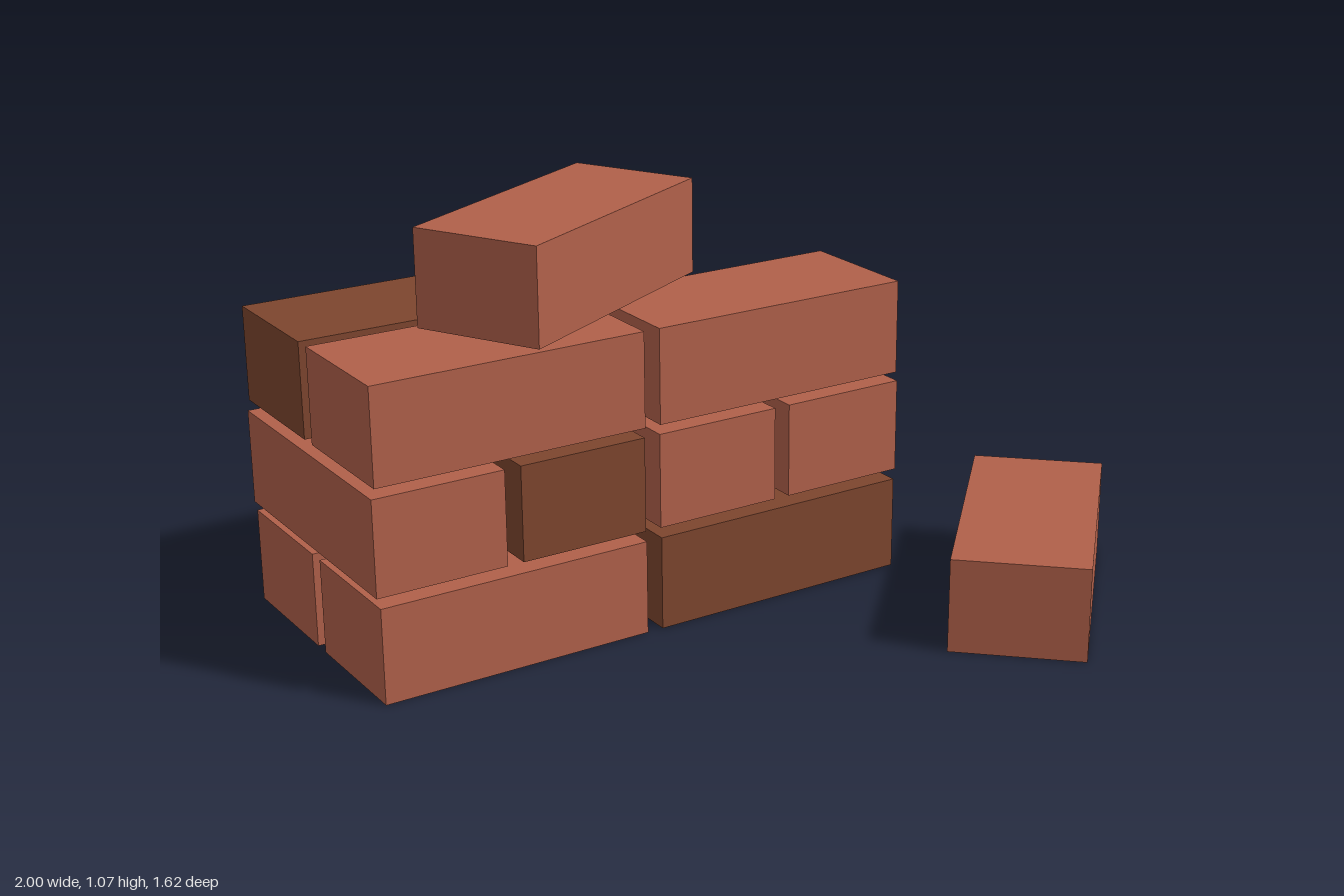
import * as THREE from 'three';

// Brick size, joint between neighbours, and course spacing
const L = 0.722, W = 0.343, H = 0.247, GAP = 0.043, COURSE = 0.273;

export function createModel() {
  const red = new THREE.MeshStandardMaterial({ color: 0xb0604a });
  red.name = 'red clay';
  const brown = new THREE.MeshStandardMaterial({ color: 0x7d452e });
  brown.name = 'brown clay';

  const geometry = new THREE.BoxGeometry(L, H, W);
  const model = new THREE.Group();
  model.name = 'brickPile';

  function brick(parent, name, material, x, course, z, turn = 0) {
    const mesh = new THREE.Mesh(geometry, material);
    mesh.name = name;
    mesh.position.set(x, course * COURSE + H / 2, z);
    mesh.rotation.y = turn;
    parent.add(mesh);
  }

  // Stack, turned slightly on the ground
  const stack = new THREE.Group();
  stack.name = 'stack';
  stack.position.set(-0.215, 0, -0.374);
  stack.rotation.y = -0.107;
  model.add(stack);

  const dx = (L + GAP) / 2, dz = (W + GAP) / 2;

  // Bottom and top courses run lengthwise; the top one lacks its back left brick
  for (const side of [-1, 1]) {
    for (const row of [-1, 1]) {
      const isBrownBottom = side === 1 && row === 1;
      brick(stack, 'bottomCourseBrick', isBrownBottom ? brown : red, side * dx, 0, row * dz);
      if (side === 1 && row === -1) continue;
      const isBrownTop = side === -1 && row === -1;
      brick(stack, 'topCourseBrick', isBrownTop ? brown : red, side * dx, 2, row * dz);
    }
  }

  // Middle course runs crosswise
  for (let i = 0; i < 4; i++) {
    brick(stack, 'middleCourseBrick', i === 1 ? brown : red, (i - 1.5) * (W + GAP), 1, 0, Math.PI / 2);
  }

  // Loose bricks: one on top, one on the ground
  brick(model, 'looseTopBrick', red, -0.322, 3, -0.29, 0.383);
  brick(model, 'looseGroundBrick', red, 0.61, 0, 0.445, 0.697);

  return model;
}
